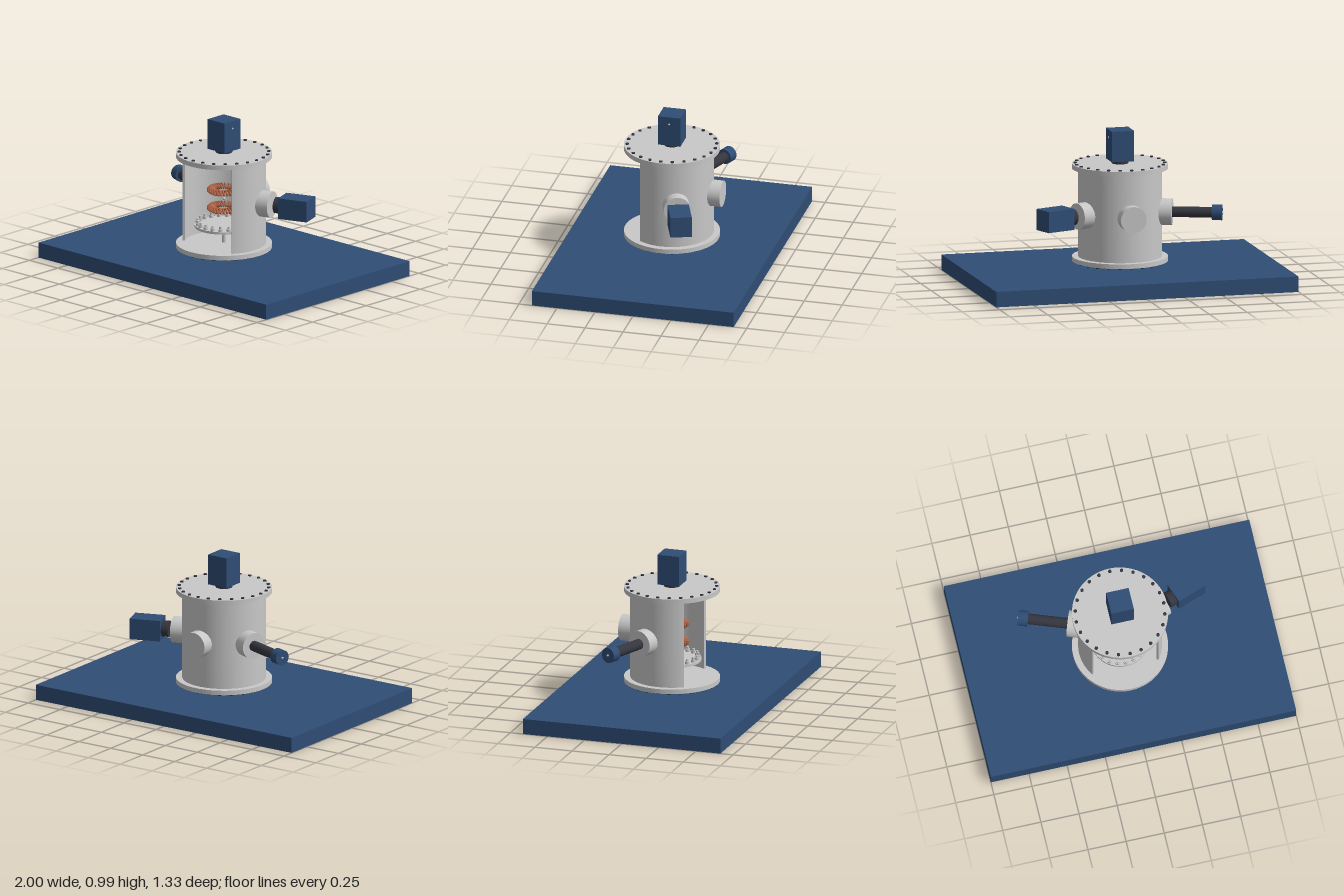
import * as THREE from 'three';
import { toCreasedNormals } from 'three/addons/utils/BufferGeometryUtils.js';

const material = (name, color) => Object.assign(new THREE.MeshStandardMaterial({ color }), { name });
const rad = THREE.MathUtils.degToRad;

export function createModel() {
  const steel = material('steel', 0xc8c8c8);
  const navy = material('navy', 0x2f4d75);
  const dark = material('dark rubber', 0x35353f);
  const copper = material('copper', 0xb8694a);

  const model = new THREE.Group();
  model.name = 'vacuumChamber';

  const add = (parent, name, geometry, mat, x = 0, y = 0, z = 0) => {
    const mesh = new THREE.Mesh(geometry, mat);
    mesh.name = name;
    mesh.position.set(x, y, z);
    parent.add(mesh);
    return mesh;
  };
  // Upright cylinder from y0 to y1
  const cyl = (parent, name, r, y0, y1, mat, x = 0, z = 0, sides = 32) =>
    add(parent, name, new THREE.CylinderGeometry(r, r, y1 - y0, sides), mat, x, (y0 + y1) / 2, z);
  const ring = (count, r, place) => {
    for (let i = 0; i < count; i++) {
      const a = (i / count) * Math.PI * 2;
      place(Math.cos(a) * r, Math.sin(a) * r);
    }
  };
  const group = (name) => {
    const g = new THREE.Group();
    g.name = name;
    model.add(g);
    return g;
  };

  // Table
  add(model, 'table', new THREE.BoxGeometry(2, 0.1, 1.33), navy, 0, 0.05, 0);

  // Chamber wall, open toward the front
  const start = rad(-35.5), end = rad(215.5);
  const section = new THREE.Shape();
  section.absarc(0, 0, 0.267, start, end, false);
  section.absarc(0, 0, 0.252, end, start, true);
  const wall = new THREE.ExtrudeGeometry(section, { depth: 0.57, bevelEnabled: false, curveSegments: 56 });
  wall.rotateX(-Math.PI / 2);
  add(model, 'chamberWall', toCreasedNormals(wall, 0.5), steel, 0, 0.165, 0);

  // Flanges with bolts on their outer faces
  cyl(model, 'bottomFlange', 0.307, 0.135, 0.165, steel, 0, 0, 64);
  cyl(model, 'topFlange', 0.307, 0.735, 0.766, steel, 0, 0, 64);
  const bolts = group('flangeBolts');
  ring(24, 0.286, (x, z) => {
    cyl(bolts, 'topBolt', 0.011, 0.764, 0.773, dark, x, z, 12);
    cyl(bolts, 'bottomBolt', 0.011, 0.127, 0.137, dark, x, z, 12);
  });

  // Rotating sample stage on its shaft
  const stage = group('sampleStage');
  cyl(stage, 'stageShaft', 0.014, 0.1, 0.25, steel, 0, 0, 20);
  cyl(stage, 'stageHub', 0.04, 0.24, 0.272, steel);
  cyl(stage, 'stagePlate', 0.188, 0.27, 0.286, steel, 0, 0, 48);
  ring(20, 0.168, (x, z) => {
    cyl(stage, 'sampleCup', 0.015, 0.286, 0.303, steel, x, z, 14);
    cyl(stage, 'samplePin', 0.009, 0.303, 0.318, steel, x, z, 12);
  });

  // Two ring-wound coils with lead rods
  class RingWinding extends THREE.Curve {
    getPoint(t, target = new THREE.Vector3()) {
      const a = t * Math.PI * 2, w = a * 30;
      const r = 0.083 + 0.022 * Math.cos(w);
      return target.set(Math.cos(a) * r, 0.016 * Math.sin(w), Math.sin(a) * r);
    }
  }
  const winding = new THREE.TubeGeometry(new RingWinding(), 480, 0.0055, 6, true);
  add(model, 'upperCoil', winding, copper, 0, 0.515, 0);
  add(model, 'lowerCoil', winding, copper, 0, 0.395, 0);
  cyl(model, 'upperLead', 0.007, 0.53, 0.735, copper, 0.11, 0, 12);
  cyl(model, 'lowerLead', 0.007, 0.165, 0.378, copper, 0.11, 0, 12);
  add(model, 'centreSample', new THREE.SphereGeometry(0.01, 16, 12), steel, 0, 0.455, 0);

  // Side ports: local +y points outward from the chamber axis
  const port = (name, degrees) => {
    const g = group(name);
    g.position.y = 0.455;
    g.rotation.order = 'YXZ';
    g.rotation.set(0, rad(degrees), -Math.PI / 2);
    cyl(g, 'portFlange', 0.085, 0.2525, 0.335, steel, 0, 0, 48);
    return g;
  };
  port('backPort', 90);

  const cameraPort = port('leftCameraPort', 20);
  cyl(cameraPort, 'cameraLens', 0.052, 0.36, 0.407, dark);
  add(cameraPort, 'cameraBody', new THREE.BoxGeometry(0.137, 0.2, 0.137), navy, 0, 0.505, 0);

  const probePort = port('rightProbePort', 160);
  cyl(probePort, 'probeTube', 0.034, 0.33, 0.595, dark);
  cyl(probePort, 'probeCap', 0.05, 0.59, 0.654, navy);
  add(probePort, 'probeTip', new THREE.SphereGeometry(0.008, 12, 8), steel, 0, 0.654, 0);

  // Camera on the lid
  const lidCamera = group('lidCamera');
  cyl(lidCamera, 'lidCameraLens', 0.053, 0.765, 0.79, dark);
  add(lidCamera, 'lidCameraBody', new THREE.BoxGeometry(0.147, 0.198, 0.147), navy, 0, 0.886, 0);
  add(lidCamera, 'lidCameraLamp', new THREE.SphereGeometry(0.006, 12, 8), steel, 0.0745, 0.936, 0);

  return model;
}
